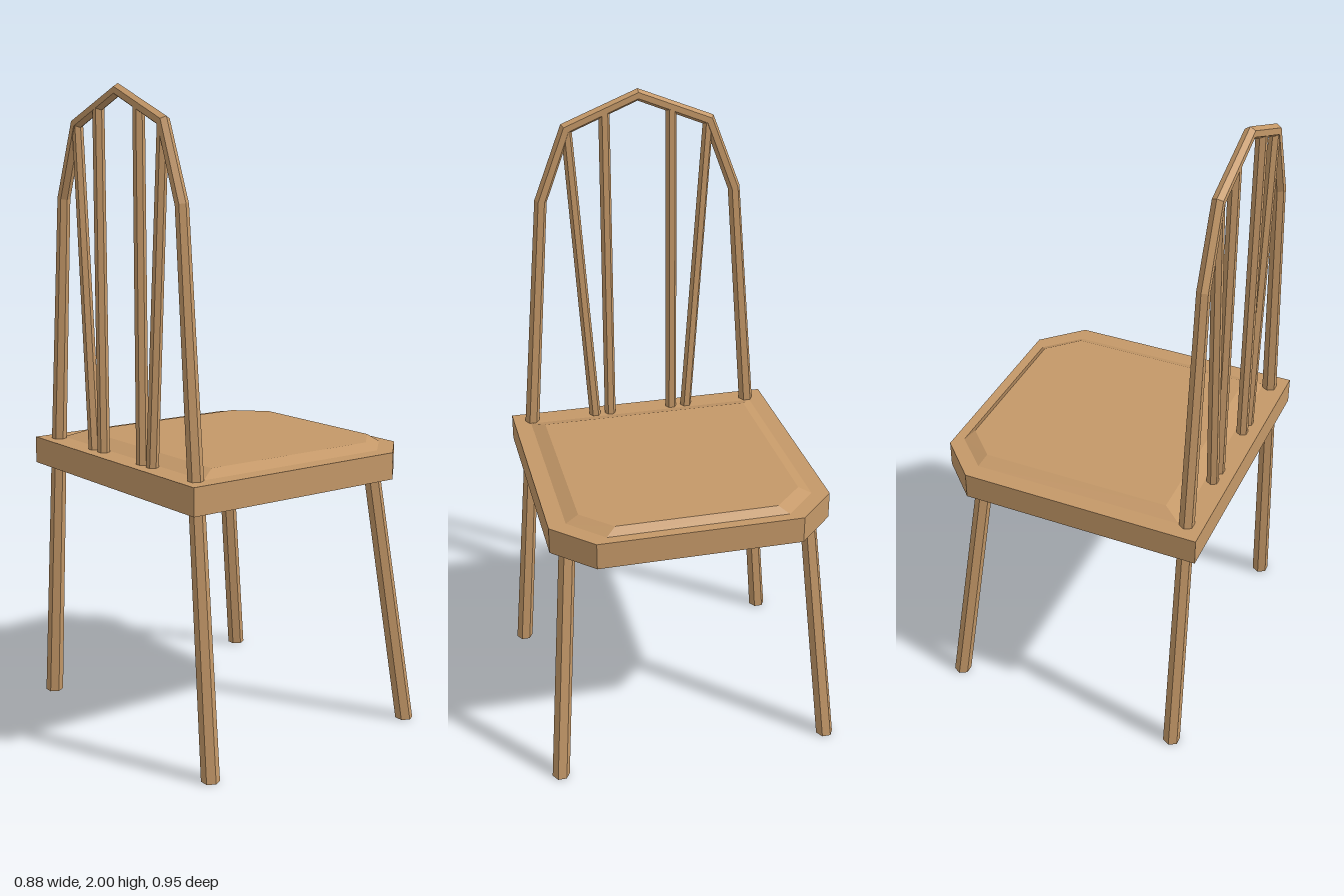
import * as THREE from 'three';

const V = (x, y, z) => new THREE.Vector3(x, y, z);

// Joins cross-section rings (counter-clockwise about the path) with flat faces and caps both ends.
function loft(rings) {
  const pos = [];
  const tri = (a, b, c) => [a, b, c].forEach((p) => pos.push(p.x, p.y, p.z));
  const n = rings[0].length;
  for (let r = 0; r < rings.length - 1; r++) {
    const lo = rings[r], hi = rings[r + 1];
    for (let i = 0; i < n; i++) {
      const j = (i + 1) % n;
      tri(lo[i], lo[j], hi[j]);
      tri(lo[i], hi[j], hi[i]);
    }
  }
  const first = rings[0], last = rings[rings.length - 1];
  for (let i = 1; i < n - 1; i++) {
    tri(first[0], first[i + 1], first[i]);
    tri(last[0], last[i], last[i + 1]);
  }
  const geo = new THREE.BufferGeometry();
  geo.setAttribute('position', new THREE.Float32BufferAttribute(pos, 3));
  geo.computeVertexNormals();
  return geo;
}

// Six-sided bar along points [x, y, z, radius], mitred at bends and cut level at its ends.
function hexBar(path) {
  const pts = path.map(([x, y, z]) => V(x, y, z));
  const across = V(1, 0, 0);
  const rings = pts.map((p, k) => {
    let tangent = V(0, k === pts.length - 1 && pts[k].y < pts[k - 1].y ? -1 : 1, 0);
    let stretch = 1;
    if (k > 0 && k < pts.length - 1) {
      const before = p.clone().sub(pts[k - 1]).normalize();
      const after = pts[k + 1].clone().sub(p).normalize();
      tangent = before.clone().add(after).normalize();
      stretch = 1 / tangent.dot(before);
    }
    const side = tangent.clone().cross(across).normalize();
    const r = path[k][3];
    return Array.from({ length: 6 }, (_, i) => {
      const a = Math.PI / 6 + (i * Math.PI) / 3;
      return p.clone()
        .addScaledVector(across, r * Math.cos(a))
        .addScaledVector(side, r * stretch * Math.sin(a));
    });
  });
  return loft(rings);
}

// Seat-shaped outline with the two corners away from the backrest cut off.
function outline(y, back, front, half, cutX, cutZ) {
  return [
    V(front, y, cutZ), V(front, y, -cutZ), V(cutX, y, -half),
    V(back, y, -half), V(back, y, half), V(cutX, y, half),
  ];
}

export function createModel() {
  const group = new THREE.Group();
  const wood = new THREE.MeshStandardMaterial({ color: 0xc49868 });
  wood.name = 'wood';

  const add = (name, geo) => {
    const mesh = new THREE.Mesh(geo, wood);
    mesh.name = name;
    group.add(mesh);
  };

  // Seat slab and the shallow raised panel on it
  add('seat', loft([
    outline(0.8, -0.442, 0.442, 0.442, 0.32, 0.32),
    outline(0.885, -0.442, 0.442, 0.442, 0.32, 0.32),
  ]));
  add('seatPanel', loft([
    outline(0.884, -0.37, 0.411, 0.389, 0.305, 0.285),
    outline(0.905, -0.31, 0.386, 0.347, 0.293, 0.253),
  ]));

  const backX = -0.39;
  for (const s of [1, -1]) {
    const label = s > 0 ? 'Near' : 'Far';

    // Splayed legs
    add('backLeg' + label, hexBar([[backX, 0, 0.447 * s, 0.028], [backX, 0.85, 0.382 * s, 0.024]]));
    add('frontLeg' + label, hexBar([[0.39, 0, 0.447 * s, 0.028], [0.285, 0.84, 0.38 * s, 0.026]]));

    // Backrest spindles
    add('innerSpindle' + label, hexBar([[backX, 0.87, 0.108 * s, 0.019], [backX, 1.94, 0.108 * s, 0.018]]));
    add('outerSpindle' + label, hexBar([[backX, 0.87, 0.16 * s, 0.019], [backX, 1.885, 0.229 * s, 0.017]]));
  }

  // Arched hoop of the backrest, mirrored about its peak
  const half = [
    [backX, 0.85, 0.382, 0.024],
    [backX, 1.66, 0.319, 0.02],
    [backX, 1.888, 0.232, 0.019],
  ];
  const mirrored = half.map(([x, y, z, r]) => [x, y, -z, r]).reverse();
  add('backHoop', hexBar([...half, [backX, 1.981, 0, 0.018], ...mirrored]));

  return group;
}
